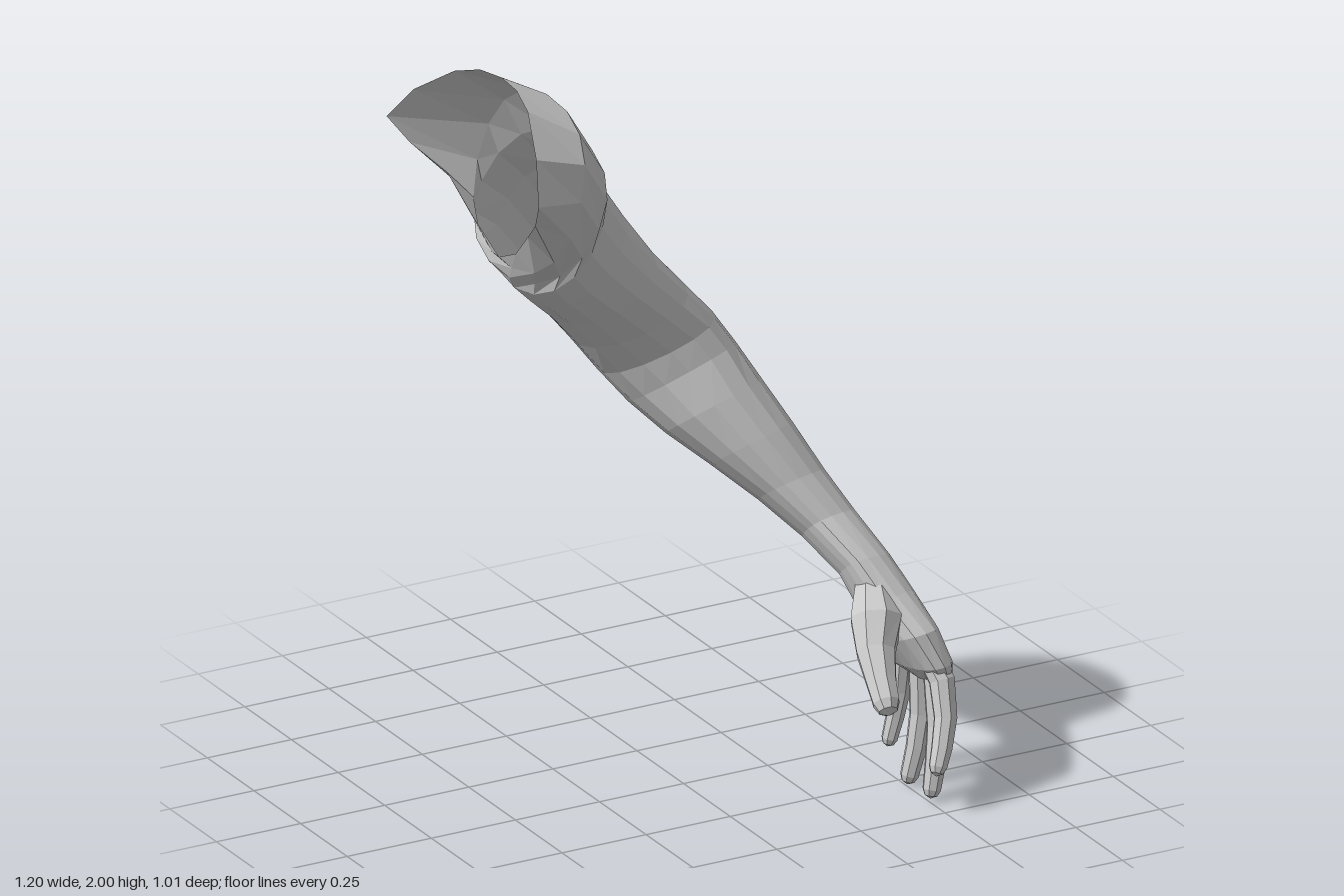
import * as THREE from 'three';

const material = new THREE.MeshStandardMaterial({ color: 0xcccccc, flatShading: true, side: THREE.DoubleSide });
const vec = (a) => new THREE.Vector3(...a);

// Skins a list of equal-sized rings and closes the end to an apex point.
function loft(name, rings, apex) {
  const n = rings[0].length;
  const positions = [...rings.flat(), apex].flatMap((p) => [p.x, p.y, p.z]);
  const index = [];
  for (let i = 0; i < rings.length - 1; i++) {
    for (let j = 0; j < n; j++) {
      const a = i * n + j, b = i * n + (j + 1) % n;
      index.push(a, a + n, b, b, a + n, b + n);
    }
  }
  const last = (rings.length - 1) * n;
  for (let j = 0; j < n; j++) index.push(last + j, rings.length * n, last + (j + 1) % n);
  const geometry = new THREE.BufferGeometry();
  geometry.setAttribute('position', new THREE.Float32BufferAttribute(positions, 3));
  geometry.setIndex(index);
  geometry.computeVertexNormals();
  const mesh = new THREE.Mesh(geometry, material);
  mesh.name = name;
  return mesh;
}

// Ellipse around c from u to v; power below 1 squares it, skew slides front and back apart along v.
function ring(c, u, v, n, power = 1, skew = 0) {
  const shape = (t) => Math.sign(t) * Math.abs(t) ** power;
  return Array.from({ length: n }, (_, j) => {
    const t = (j / n) * Math.PI * 2;
    const across = shape(Math.cos(t)), up = shape(Math.sin(t));
    return c.clone().addScaledVector(u, across).addScaledVector(v, up + skew * across * Math.abs(across));
  });
}

const tangentAt = (pts, i) => pts[Math.min(i + 1, pts.length - 1)].clone()
  .sub(pts[Math.max(i - 1, 0)]).normalize();

// Arm sections: outer x, y; inner x, y; centre z; half depth; power; skew.
const SECTIONS = [
  [-0.29, 1.93, -0.395, 1.46, -0.21, 0.232, 0.9, 0.1],
  [-0.20, 1.79, -0.385, 1.42, -0.24, 0.208, 0.95, 0.1],
  [-0.15, 1.68, -0.36, 1.38, -0.258, 0.193, 0.95, 0],
  [-0.07, 1.56, -0.31, 1.33, -0.26, 0.19, 0.95, 0.05],
  [0.02, 1.43, -0.245, 1.27, -0.26, 0.186, 0.95, 0.15],
  [0.115, 1.32, -0.17, 1.18, -0.257, 0.175, 1, 0.25],
  [0.20, 1.215, -0.10, 1.09, -0.245, 0.163, 1.02, 0.3],
  [0.255, 1.12, -0.04, 1.015, -0.203, 0.152, 1.02, 0.25],
  [0.305, 1.02, 0.03, 0.94, -0.137, 0.138, 1, 0.1],
  [0.355, 0.92, 0.125, 0.855, -0.068, 0.12, 0.95, 0],
  [0.41, 0.80, 0.225, 0.765, 0.006, 0.10, 0.88, -0.15],
  [0.46, 0.70, 0.31, 0.675, 0.084, 0.085, 0.85, -0.25],
  [0.51, 0.60, 0.37, 0.59, 0.178, 0.08, 0.85, -0.3],
  [0.545, 0.52, 0.405, 0.50, 0.225, 0.10, 0.85, -0.15],
  [0.577, 0.43, 0.44, 0.41, 0.27, 0.135, 0.85, 0],
  [0.598, 0.355, 0.49, 0.34, 0.29, 0.14, 0.85, 0],
  [0.59, 0.31, 0.535, 0.30, 0.295, 0.125, 0.9, 0],
];

// Open shoulder edge: front, over the top, back, then under the armpit.
const RIM = [
  [-0.47, 1.75, 0.07], [-0.425, 1.96, -0.07], [-0.42, 2.0, -0.22], [-0.465, 1.965, -0.39],
  [-0.6, 1.82, -0.51], [-0.46, 1.66, -0.44], [-0.41, 1.48, -0.25], [-0.43, 1.61, -0.06],
];

function armAndPalm() {
  const n = 16;
  const rim = new THREE.CatmullRomCurve3(RIM.map(vec), true);
  const rings = [Array.from({ length: n }, (_, j) => rim.getPoint(j / n))];
  // The spine starts at the middle of the shoulder opening
  const spine = [vec([-0.47, 1.77, -0.22]),
    ...SECTIONS.map(([ox, oy, ax, ay, z]) => vec([(ox + ax) / 2, (oy + ay) / 2, z]))];
  SECTIONS.forEach(([ox, oy, ax, ay, , depth, power, skew], i) => {
    const v = vec([(ox - ax) / 2, (oy - ay) / 2, 0]);
    const u = tangentAt(spine, i + 1).cross(v).normalize().multiplyScalar(depth);
    rings.push(ring(spine[i + 1], u, v, n, power, skew));
  });
  return loft('armAndPalm', rings, vec([0.56, 0.295, 0.295]));
}

// Tapered digit along a few joints, with a rounded tip.
function digit(name, joints, radii) {
  const pts = joints.map(vec);
  const frame = (i) => {
    const t = tangentAt(pts, i);
    const v = vec([1, 0, 0]).addScaledVector(t, -t.x).normalize();
    return { t, v, u: t.clone().cross(v) };
  };
  const make = (c, { u, v }, r) => ring(c, u.clone().multiplyScalar(r), v.clone().multiplyScalar(r), 8);
  const rings = pts.map((p, i) => make(p, frame(i), radii[i]));
  const last = pts.length - 1, end = pts[last], r = radii[last], f = frame(last);
  rings.push(make(end.clone().addScaledVector(f.t, r * 0.65), f, r * 0.7));
  return loft(name, rings, end.clone().addScaledVector(f.t, r));
}

export function createModel() {
  const arm = new THREE.Group();
  arm.name = 'arm';
  arm.add(armAndPalm());

  // Fingers: buried root, knuckle, middle joint, last joint, tip
  const fingers = {
    indexFinger: [[0.525, 0.39, 0.36], [0.546, 0.33, 0.40], [0.535, 0.24, 0.44], [0.51, 0.17, 0.465], [0.49, 0.125, 0.48]],
    middleFinger: [[0.54, 0.39, 0.32], [0.56, 0.32, 0.345], [0.55, 0.19, 0.375], [0.53, 0.1, 0.395], [0.513, 0.03, 0.405]],
    ringFinger: [[0.54, 0.39, 0.26], [0.56, 0.32, 0.265], [0.554, 0.19, 0.275], [0.535, 0.1, 0.283], [0.513, 0.025, 0.285]],
    littleFinger: [[0.535, 0.39, 0.21], [0.55, 0.32, 0.185], [0.545, 0.22, 0.178], [0.53, 0.15, 0.178], [0.512, 0.09, 0.18]],
  };
  for (const [name, joints] of Object.entries(fingers)) {
    const k = name === 'littleFinger' ? 0.87 : 1;
    arm.add(digit(name, joints, [0.03, 0.036, 0.032, 0.029, 0.025].map((r) => r * k)));
  }

  // Thumb with its fleshy base inside the palm
  arm.add(digit('thumb',
    [[0.445, 0.59, 0.205], [0.41, 0.49, 0.295], [0.375, 0.425, 0.355], [0.355, 0.37, 0.42], [0.345, 0.33, 0.465]],
    [0.04, 0.072, 0.054, 0.042, 0.037]));
  return arm;
}
